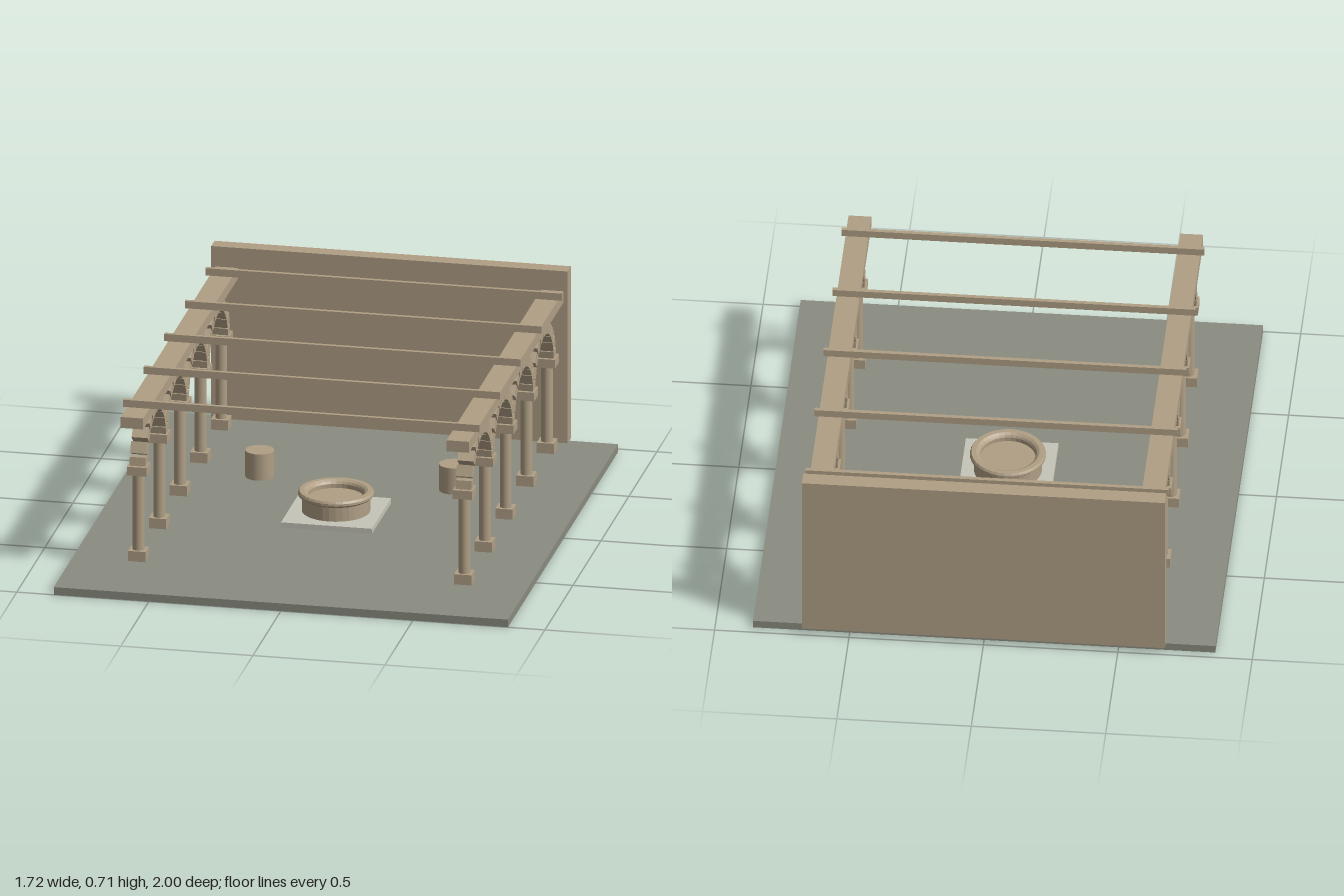
import * as THREE from 'three';

export function createModel() {
  const root = new THREE.Group();
  const stone = new THREE.MeshStandardMaterial({ color: 0xb09f85 });
  const paving = new THREE.MeshStandardMaterial({ color: 0x8a8c80 });
  const pale = new THREE.MeshStandardMaterial({ color: 0xc6c4b8 });

  const add = (parent, name, geometry, x, y, z, material = stone) => {
    const mesh = new THREE.Mesh(geometry, material);
    mesh.name = name;
    mesh.position.set(x, y, z);
    parent.add(mesh);
    return mesh;
  };
  // Box given by its centre in x and z, and its bottom and top in y
  const box = (parent, name, w, d, y0, y1, x, z, material) =>
    add(parent, name, new THREE.BoxGeometry(w, y1 - y0, d), x, (y0 + y1) / 2, z, material);

  const floorTop = 0.03;
  const pitch = 0.369;
  const columnZ = [0, 1, 2, 3, 4].map((i) => 0.631 - i * pitch);

  // Courtyard floor and back wall
  box(root, 'floor', 1.72, 1.97, 0, floorTop, 0, 0.015, paving);
  box(root, 'backWall', 1.35, 0.06, floorTop, 0.706, 0, -0.97);

  // Arcades on both sides
  const shaft = new THREE.CylinderGeometry(0.022, 0.022, 0.31, 20);
  const archBlock = new THREE.BoxGeometry(0.06, 0.042, 0.044);
  const blocks = 11, radius = pitch / 2, springY = 0.384;

  for (const side of [1, -1]) {
    const arcade = new THREE.Group();
    arcade.name = side > 0 ? 'leftArcade' : 'rightArcade';
    arcade.position.x = side * 0.617;
    root.add(arcade);

    for (const z of columnZ) {
      box(arcade, 'columnBase', 0.066, 0.062, floorTop, 0.07, 0, z);
      add(arcade, 'columnShaft', shaft, 0, 0.22, z);
      box(arcade, 'capital', 0.074, 0.07, 0.368, 0.402, 0, z);
    }

    // Separate wedge stones set around each half circle
    for (const z of columnZ.slice(0, -1)) {
      for (let i = 0; i < blocks; i++) {
        const a = ((i + 0.5) / blocks) * Math.PI;
        const block = add(arcade, 'archStone', archBlock, 0,
          springY + radius * Math.sin(a), z - radius + radius * Math.cos(a));
        block.rotation.x = Math.PI / 2 - a;
      }
    }
    box(arcade, 'beam', 0.085, 1.69, 0.584, 0.627, 0, -0.095);
  }

  // Thin rafters across the court
  for (const z of columnZ) box(root, 'rafter', 1.35, 0.016, 0.627, 0.655, 0, z);

  // Round basin on a square slab
  box(root, 'basinSlab', 0.344, 0.344, floorTop, 0.051, 0, 0.014, pale);
  const profile = [
    [0, 0.05], [0.127, 0.05], [0.127, 0.105], [0.135, 0.109], [0.141, 0.115],
    [0.141, 0.124], [0.136, 0.132], [0.118, 0.132], [0.108, 0.126], [0.103, 0.118],
    [0.103, 0.102], [0, 0.102],
  ].map(([r, y]) => new THREE.Vector2(r, y));
  const basin = new THREE.LatheGeometry(profile, 32).toNonIndexed();
  basin.computeVertexNormals();
  add(root, 'basin', basin, 0, 0, 0.014);

  // Round stools
  for (const side of [1, -1]) {
    add(root, 'stool', new THREE.CylinderGeometry(0.054, 0.054, 0.103, 24), side * 0.367, 0.0815, -0.354);
  }
  return root;
}
